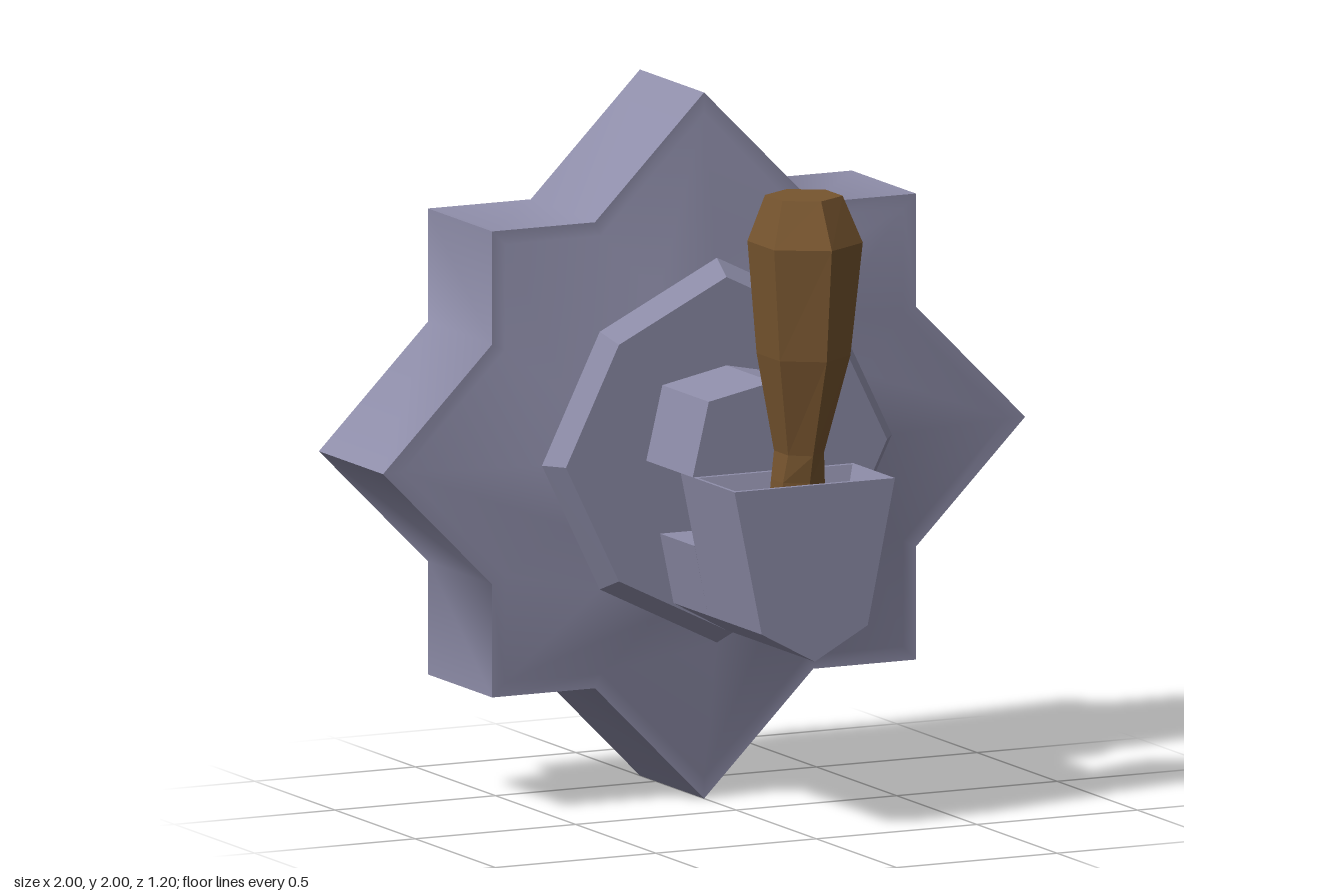
import * as THREE from 'three';
import { toCreasedNormals } from 'three/addons/utils/BufferGeometryUtils.js';

// Skin a list of rings (equal point counts) and cap both ends.
function loft(rings) {
  const pos = [];
  const tri = (a, b, c) => pos.push(...a, ...b, ...c);
  const n = rings[0].length;
  const centre = (ring) => [0, 1, 2].map((k) => ring.reduce((s, p) => s + p[k], 0) / n);
  const first = rings[0], last = rings[rings.length - 1];
  const c0 = centre(first), c1 = centre(last);
  for (let j = 0; j < n; j++) {
    const k = (j + 1) % n;
    for (let i = 0; i < rings.length - 1; i++) {
      const a = rings[i], b = rings[i + 1];
      tri(a[j], a[k], b[k]);
      tri(a[j], b[k], b[j]);
    }
    tri(c0, first[k], first[j]);
    tri(c1, last[j], last[k]);
  }
  const geo = new THREE.BufferGeometry();
  geo.setAttribute('position', new THREE.Float32BufferAttribute(pos, 3));
  geo.computeVertexNormals();
  return geo;
}

// Repeat the points of one quadrant four times around (0, 1) at depth z.
function fourfold(quadrant, z) {
  const ring = [];
  for (let q = 0; q < 4; q++) {
    for (let [x, y] of quadrant) {
      for (let r = 0; r < q; r++) [x, y] = [-y, x];
      ring.push([x, y + 1, z]);
    }
  }
  return ring;
}

// Level rectangle, half-width w, between two depths.
const rect = (y, w, back, front) =>
  [[w, y, front], [w, y, back], [-w, y, back], [-w, y, front]];

// Extrude a front outline between two depths.
function prism(points, back, front) {
  const shape = new THREE.Shape(points.map(([x, y]) => new THREE.Vector2(x, y)));
  const geo = new THREE.ExtrudeGeometry(shape, { depth: front - back, bevelEnabled: false });
  return geo.translate(0, 0, back);
}

export function createModel() {
  const group = new THREE.Group();
  const metal = new THREE.MeshStandardMaterial({ color: 0x8f8eaa });
  const wood = new THREE.MeshStandardMaterial({ color: 0x77552f, flatShading: true });
  const add = (name, geo, mat) => {
    const mesh = new THREE.Mesh(geo, mat);
    mesh.name = name;
    group.add(mesh);
  };

  // Eight-pointed wall plate, rising gently to the boss
  const star = (tip, corner, notch) => [[tip, 0], [corner, notch], [corner, corner], [notch, corner]];
  const outline = star(1, 0.66, 0.34);
  const plate = loft([
    fourfold(outline, -0.6),
    fourfold(outline, -0.2),
    fourfold(star(0.94, 0.62, 0.32), -0.2),
    fourfold([[0.545, 0], [0.455, 0.182], [0.365, 0.365], [0.182, 0.455]], -0.12),
  ]);
  add('starPlate', toCreasedNormals(plate, 0.83), metal);

  // Bevelled octagonal boss
  add('boss', loft([
    fourfold([[0.545, 0], [0.365, 0.365]], -0.12),
    fourfold([[0.5, 0], [0.335, 0.335]], -0.06),
  ]), metal);

  // Upper bracket block
  add('upperBracket', prism(
    [[-0.25, 1], [0.25, 1], [0.2, 1.21], [0, 1.25], [-0.2, 1.21]], -0.06, 0.23), metal);

  // Lower arm under the gap
  add('lowerArm', prism(
    [[-0.207, 0.79], [-0.165, 0.59], [0, 0.5], [0.165, 0.59], [0.207, 0.79]], -0.06, 0.155), metal);

  // Hollow socket: keel, flared sides, rim, inner walls and floor
  add('socket', loft([
    rect(0.5, 0, 0.155, 0.49),
    rect(0.59, 0.165, 0.155, 0.49),
    rect(1, 0.25, 0.155, 0.49),
    rect(1, 0.24, 0.245, 0.475),
    rect(0.8, 0.17, 0.31, 0.42),
  ]), metal);

  // Six-sided handle leaning slightly forward: [y, half-width, z radius, z centre]
  const sections = [
    [0.8, 0.075, 0.075, 0.365], [1, 0.065, 0.075, 0.385], [1.08, 0.056, 0.088, 0.392],
    [1.36, 0.11, 0.145, 0.42], [1.68, 0.138, 0.167, 0.43], [1.81, 0.094, 0.108, 0.422],
  ];
  add('handle', loft(sections.map(([y, w, r, z]) =>
    Array.from({ length: 6 }, (_, i) => {
      const t = Math.PI / 6 + (i * Math.PI) / 3;
      return [(w * Math.cos(t)) / Math.cos(Math.PI / 6), y, z - r * Math.sin(t)];
    }))), wood);

  return group;
}
